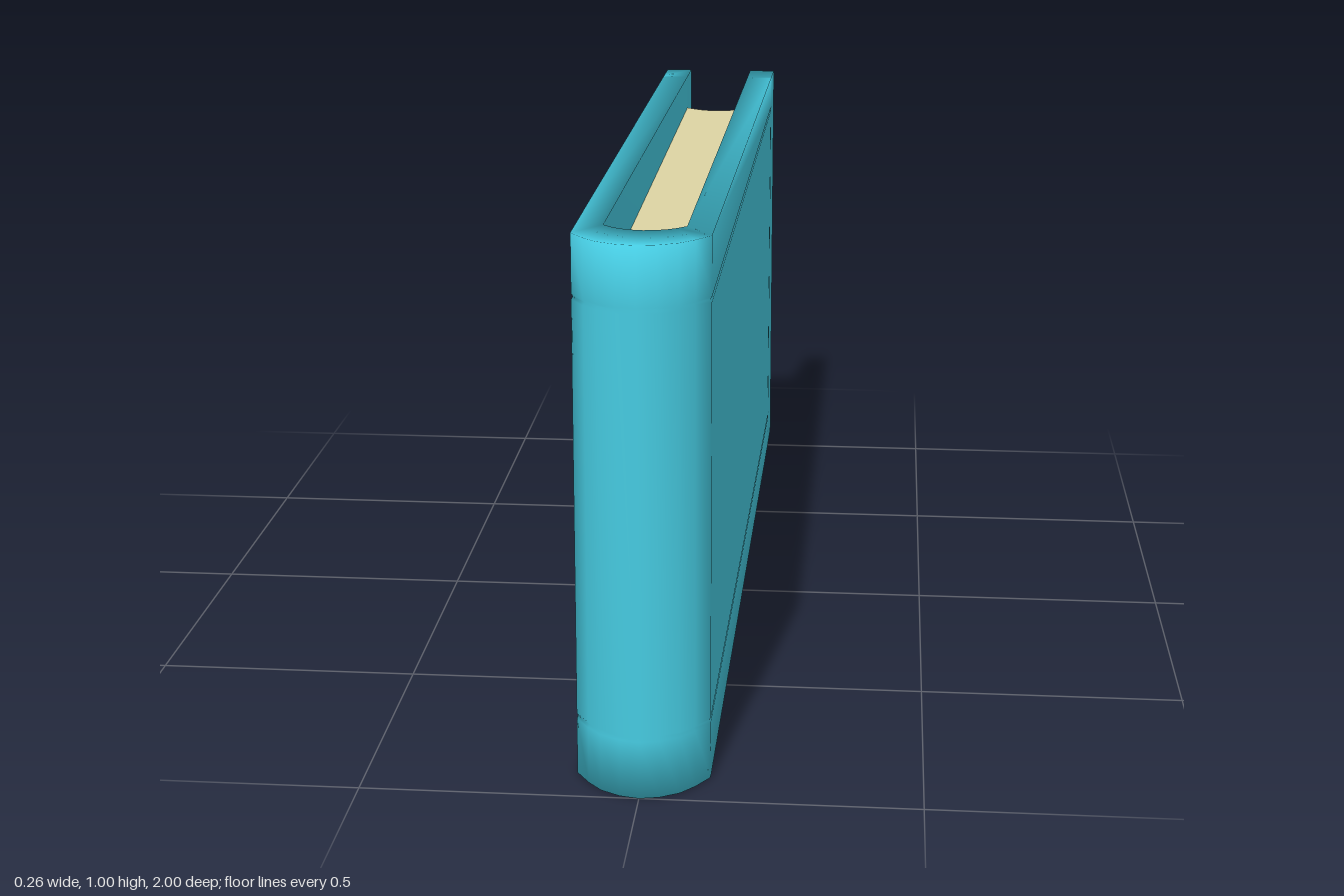
import * as THREE from 'three';

const coverMat = new THREE.MeshStandardMaterial({ color: 0x46cbe1 });
coverMat.name = 'cyan cover';
const pageMat = new THREE.MeshStandardMaterial({ color: 0xddd5a3 });
pageMat.name = 'cream paper';

const GROOVE_Z = -0.885, GROOVE_LOW = 0.113, GROOVE_HIGH = 0.887;
const GROOVE_W = 0.005, GROOVE_DEPTH = 0.003;

// Stations of one half: outer x, outer z, inner x, inner z (fore-edge to spine)
function coverStations() {
  const board = [-1, GROOVE_Z - GROOVE_W, GROOVE_Z, GROOVE_Z + GROOVE_W]
    .map(z => [0.125 - 0.005 * z, z, 0.072, z]);
  const half = [
    ...board,
    [0.12, 0.91, 0.072, 0.84],
    [0.095, 0.947, 0.055, 0.858],
    [0.07, 0.974, 0.04, 0.869],
    [0.035, 0.993, 0.02, 0.877],
  ];
  const mirrored = half.map(([a, b, c, d]) => [-a, b, -c, d]).reverse();
  return [...half, [0, 1, 0, 0.88], ...mirrored];
}

// Wrapped cover: a ring (outer face up, inner face down) swept around the spine
function coverGeometry() {
  const stations = coverStations();
  const pos = [], idx = [];
  const edge = z => 0.02 * (1 - z); // the boards taper towards the fore-edge
  for (const [ox, oz, ix, iz] of stations) {
    const rows = [edge(oz)];
    for (const g of [GROOVE_LOW, GROOVE_HIGH]) rows.push(g - GROOVE_W, g, g + GROOVE_W);
    rows.push(1 - edge(oz));
    // inward direction for pressing the groove into the surface
    const dir = new THREE.Vector2(-ox, oz > 0.9 ? 0.88 - oz : 0).normalize();
    for (const y of rows) {
      const onRow = (y === GROOVE_LOW || y === GROOVE_HIGH) && oz >= GROOVE_Z;
      const onColumn = oz === GROOVE_Z && y >= GROOVE_LOW && y <= GROOVE_HIGH;
      const d = onRow || onColumn ? GROOVE_DEPTH : 0;
      pos.push(ox + dir.x * d, y, oz + dir.y * d);
    }
    pos.push(ix, 1 - edge(iz), iz, ix, edge(iz), iz);
  }
  const n = 10, last = (stations.length - 1) * n;
  for (let i = 0; i < stations.length - 1; i++) {
    for (let j = 0; j < n; j++) {
      const a = i * n + j, b = i * n + (j + 1) % n;
      idx.push(a, b, b + n, a, b + n, a + n);
    }
  }
  // fore-edge ends of both boards
  for (let k = 0; k < n - 2; k++) {
    idx.push(n - 1, k + 1, k, last + n - 1, last + k, last + k + 1);
  }
  const geo = new THREE.BufferGeometry();
  geo.setAttribute('position', new THREE.Float32BufferAttribute(pos, 3));
  geo.setIndex(idx);
  geo.computeVertexNormals();
  return geo;
}

// Page block: rounded at the spine, hollow at the fore-edge
function pagesGeometry() {
  const shape = new THREE.Shape();
  shape.moveTo(-0.073, -0.84);
  shape.quadraticCurveTo(0, -0.921, 0.073, -0.84);
  shape.lineTo(0.073, 0.887);
  shape.quadraticCurveTo(0, 0.817, -0.073, 0.887);
  shape.closePath();
  const geo = new THREE.ExtrudeGeometry(shape, { depth: 0.774, bevelEnabled: false, curveSegments: 10 });
  geo.rotateX(-Math.PI / 2);
  geo.translate(0, 0.113, 0);
  return geo;
}

export function createModel() {
  const book = new THREE.Group();
  book.name = 'book';
  const cover = new THREE.Mesh(coverGeometry(), coverMat);
  cover.name = 'cover';
  const pages = new THREE.Mesh(pagesGeometry(), pageMat);
  pages.name = 'pages';
  book.add(cover, pages);
  return book;
}
